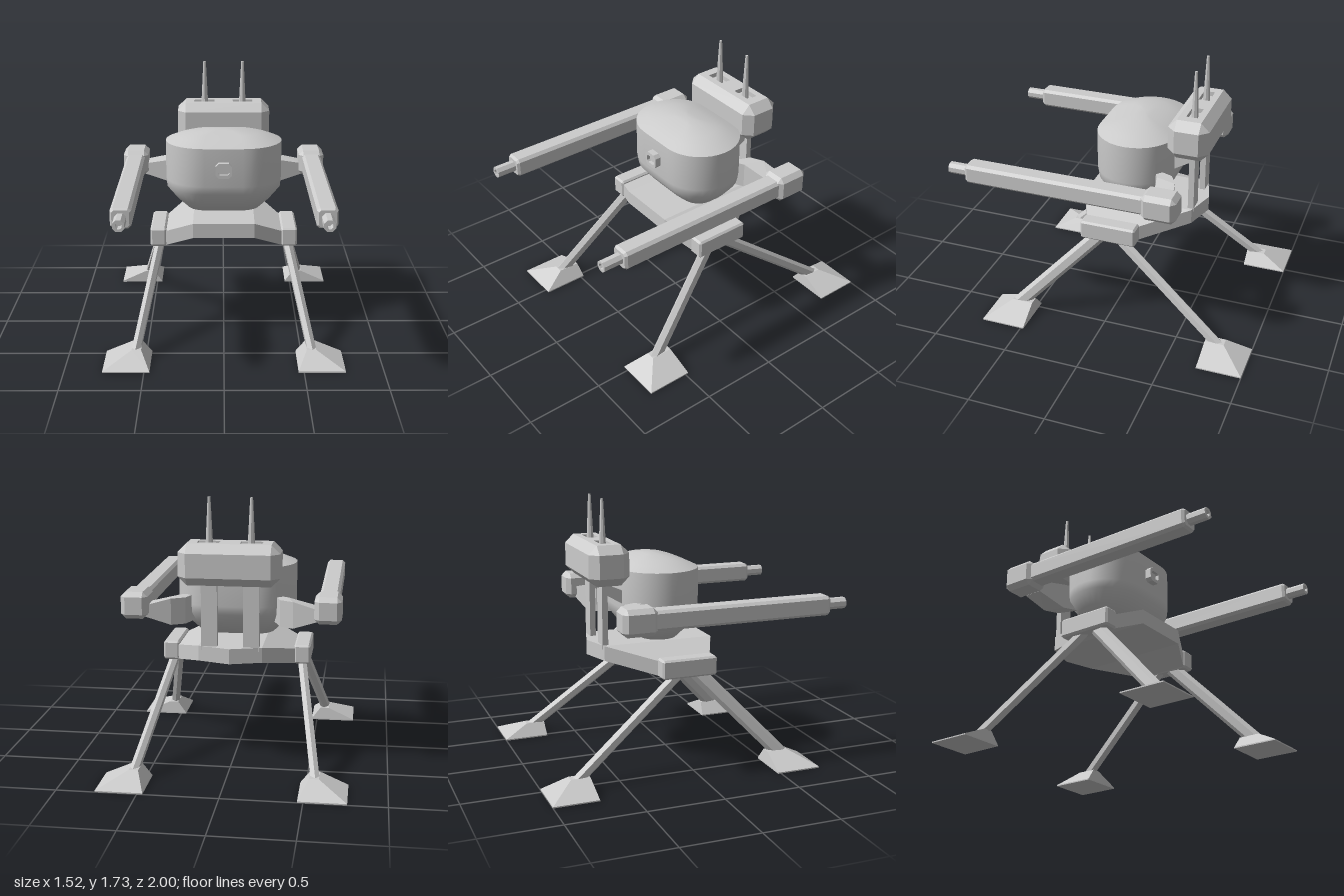
import * as THREE from 'three';
import { toCreasedNormals } from 'three/addons/utils/BufferGeometryUtils.js';
import { ConvexGeometry } from 'three/addons/geometries/ConvexGeometry.js';

const V = (x, y, z) => new THREE.Vector3(x, y, z);
const grey = new THREE.MeshStandardMaterial({ color: 0xcccccc, flatShading: true });
const smooth = new THREE.MeshStandardMaterial({ color: 0xcccccc });
const inner = new THREE.MeshStandardMaterial({ color: 0xcccccc, flatShading: true, side: THREE.BackSide });

function add(parent, name, geo, mat = grey) {
  const m = new THREE.Mesh(geo, mat);
  m.name = name;
  parent.add(m);
  return m;
}

// Convex solid from [x, y, z] corners
const hull = (pts) => new ConvexGeometry(pts.map((p) => V(...p)));

// Box between two corners with every edge chamfered by c
function chamferBox(min, max, c) {
  const pts = [];
  for (let flat = 0; flat < 3; flat++)
    for (let i = 0; i < 8; i++)
      pts.push([0, 1, 2].map((a) => {
        const inset = a === flat ? 0 : c;
        return (i >> a) & 1 ? max[a] - inset : min[a] + inset;
      }));
  return hull(pts);
}

// Rectangle corners at height y
const rect = (x0, x1, z0, z1, y) => [[x0, y, z0], [x1, y, z0], [x1, y, z1], [x0, y, z1]];

// Six-sided strut between two points, w wide across x and d deep
function strut(a, b, w, d) {
  const axis = b.clone().sub(a);
  const geo = new THREE.CylinderGeometry(1, 1, axis.length(), 6);
  geo.scale(w / 1.732, 1, d / 2);
  const y = axis.clone().normalize();
  const z = V(1, 0, 0).cross(y).normalize();
  const x = y.clone().cross(z);
  geo.applyMatrix4(new THREE.Matrix4().makeBasis(x, y, z).setPosition(a.clone().add(b).multiplyScalar(0.5)));
  return geo;
}

// Body: stadium-shaped rings of end radius r and straight half-length h
function bodyGeometry() {
  const rings = [[0.815, 0, 0], [0.815, 0.12, 0.12], [0.885, 0.19, 0.125], [0.965, 0.25, 0.13], [1.02, 0.26, 0.125],
    [1.275, 0.26, 0.125], [1.305, 0.19, 0.12], [1.328, 0.12, 0.11], [1.343, 0.05, 0.06], [1.35, 0, 0]];
  const pos = [], idx = [], half = 16, n = 2 * (half + 1);
  for (const [y, r, h] of rings)
    for (let k = 0; k < n; k++) {
      const right = k <= half;
      const a = -Math.PI / 2 + ((right ? k : k - 1) / half) * Math.PI;
      pos.push(r * Math.cos(a) + (right ? h : -h), y, r * Math.sin(a) - 0.1);
    }
  for (let j = 0; j < rings.length - 1; j++)
    for (let k = 0; k < n; k++) {
      const a = j * n + k, b = j * n + (k + 1) % n;
      if (j > 0) idx.push(a, a + n, b);
      if (j < rings.length - 2) idx.push(b, a + n, b + n);
      else idx.push(b, a + n, b + n);
    }
  const g = new THREE.BufferGeometry();
  g.setAttribute('position', new THREE.Float32BufferAttribute(pos, 3));
  g.setIndex(idx);
  return toCreasedNormals(g, 0.8);
}

// Head: chamfered box whose top face is cut open for two antenna wells
function buildHead(parent) {
  const head = new THREE.Group();
  head.name = 'head';
  parent.add(head);
  const top = 1.455;
  const p = chamferBox([-0.315, 1.195, -0.605], [0.315, top, -0.34], 0.055).getAttribute('position');
  const kept = [];
  for (let i = 0; i < p.count; i += 3) {
    if ([0, 1, 2].every((k) => p.getY(i + k) > top - 1e-4)) continue;
    for (let k = 0; k < 3; k++) kept.push(p.getX(i + k), p.getY(i + k), p.getZ(i + k));
  }
  const shell = new THREE.BufferGeometry();
  shell.setAttribute('position', new THREE.Float32BufferAttribute(kept, 3));
  shell.computeVertexNormals();
  add(head, 'headShell', shell);

  const box2 = (S, x0, x1, y0, y1) => new S([[x0, y0], [x1, y0], [x1, y1], [x0, y1]].map((q) => new THREE.Vector2(...q)));
  const lid = box2(THREE.Shape, -0.26, 0.26, 0.395, 0.55);
  for (const s of [-1, 1]) lid.holes.push(box2(THREE.Path, s * 0.132 - 0.068, s * 0.132 + 0.068, 0.437, 0.508));
  add(head, 'headTop', new THREE.ShapeGeometry(lid).rotateX(-Math.PI / 2).translate(0, top, 0));
  for (const s of [-1, 1]) {
    add(head, 'antennaWell', new THREE.BoxGeometry(0.136, 0.03, 0.071), inner).position.set(s * 0.132, top - 0.015, -0.4725);
    add(head, 'antenna', new THREE.CylinderGeometry(0.009, 0.024, 0.305, 8)).position.set(s * 0.13, 1.5775, -0.4725);
  }
}

// Pad, legs and feet on the +x side
function buildLegs(side) {
  add(side, 'hipPad', chamferBox([0.378, 0.615, -0.2], [0.483, 0.74, 0.17], 0.012));
  add(side, 'frontLeg', strut(V(0.415, 0.65, 0.035), V(0.563, 0.05, 0.6), 0.055, 0.095));
  add(side, 'rearLeg', strut(V(0.415, 0.65, -0.045), V(0.563, 0.05, -0.81), 0.055, 0.075));
  const foot = (z0, z1, t0, t1) => hull([
    ...rect(0.465, 0.76, z0, z1, 0), ...rect(0.465, 0.76, z0, z1, 0.008), ...rect(0.525, 0.585, t0, t1, 0.087)]);
  add(side, 'frontFoot', foot(0.48, 0.775, 0.49, 0.63));
  add(side, 'rearFoot', foot(-1, -0.71, -0.84, -0.715));
}

// Arm bracket, shoulder and long barrel on the +x side
function buildArm(side) {
  const cx = 0.605, cy = 1.047;
  const outer = [...rect(0.54, 0.541, -0.46, -0.34, 0.965), ...rect(0.54, 0.541, -0.46, -0.34, 1.04)];
  const elbow = [[0.385, 0.91, -0.43], [0.385, 1.08, -0.43], [0.345, 0.91, -0.3], [0.345, 1.08, -0.3]];
  const root = [[0.3, 0.91, -0.385], [0.3, 1.08, -0.385], [0.25, 0.91, -0.25], [0.25, 1.08, -0.25]];
  add(side, 'armBracket', hull([...outer, ...elbow]));
  add(side, 'armRoot', hull([...elbow, ...root]));
  add(side, 'shoulder', chamferBox([0.52, 0.96, -0.525], [0.69, 1.132, -0.3], 0.03));

  // Barrel: octagonal bar with a tapered front end
  const oct = (r, c, z) => [[r, r - c], [r - c, r], [c - r, r], [-r, r - c], [-r, c - r], [c - r, -r], [r - c, -r], [r, c - r]]
    .map(([x, y]) => [cx + x, cy + y, z]);
  add(side, 'barrel', hull([...oct(0.063, 0.018, -0.35), ...oct(0.063, 0.018, 0.855), ...oct(0.052, 0.012, 0.872)]));

  // Muzzle with a bore
  const profile = [[0.038, 0], [0.038, 0.14], [0.02, 0.14], [0.02, 0.08], [0, 0.08]].map((q) => new THREE.Vector2(...q));
  const muzzle = new THREE.LatheGeometry(profile, 8).rotateY(Math.PI / 8).rotateX(Math.PI / 2);
  add(side, 'muzzle', muzzle).position.set(cx, cy, 0.86);
}

export function createModel() {
  const model = new THREE.Group();
  model.name = 'walker';

  add(model, 'body', bodyGeometry(), smooth);
  add(model, 'swivel', new THREE.CylinderGeometry(0.03, 0.03, 0.04, 12), smooth).position.set(0, 0.805, -0.1);

  // Front eye: octagonal housing with a slot
  const cut = (S, w, h, c) => new S([[w, h - c], [w - c, h], [c - w, h], [-w, h - c], [-w, c - h], [c - w, -h], [w - c, -h], [w, c - h]]
    .map((q) => new THREE.Vector2(...q)));
  const eye = cut(THREE.Shape, 0.052, 0.05, 0.02);
  eye.holes.push(cut(THREE.Path, 0.036, 0.026, 0.01));
  add(model, 'eyeHousing', new THREE.ExtrudeGeometry(eye, { depth: 0.08, bevelEnabled: false })).position.set(0, 1.138, 0.122);
  add(model, 'eyeLens', new THREE.BoxGeometry(0.08, 0.06, 0.05)).position.set(0, 1.138, 0.155);

  // Base plate centre
  const deck = [[0.2, 0.243], [-0.2, 0.243], [0.2, -0.49], [-0.2, -0.49], [0, -0.55]];
  add(model, 'basePlate', hull(deck.flatMap(([x, z]) => [[x, 0.7, z], [x, 0.797, z]])));

  buildHead(model);

  // Mirrored halves: sloped wing, leg set, arm, rear post and brace
  for (const s of [1, -1]) {
    const side = new THREE.Group();
    side.name = s > 0 ? 'leftSide' : 'rightSide';
    add(side, 'baseWing', hull([[0.2, 0.797, 0.243], [0.2, 0.797, -0.49], [0.39, 0.715, 0.155], [0.39, 0.715, -0.185],
      [0.2, 0.7, 0.243], [0.2, 0.7, -0.49], [0.39, 0.618, 0.155], [0.39, 0.618, -0.185]]));
    buildLegs(side);
    buildArm(side);
    add(side, 'rearPost', new THREE.BoxGeometry(0.1, 0.46, 0.038)).position.set(0.132, 1.0, -0.478);
    add(side, 'postBrace', hull([0.105, 0.16].flatMap((x) =>
      [[x, 1.19, -0.465], [x, 1.12, -0.465], [x, 1.13, -0.33], [x, 1.04, -0.33]])));
    side.scale.x = s;
    model.add(side);
  }
  return model;
}
